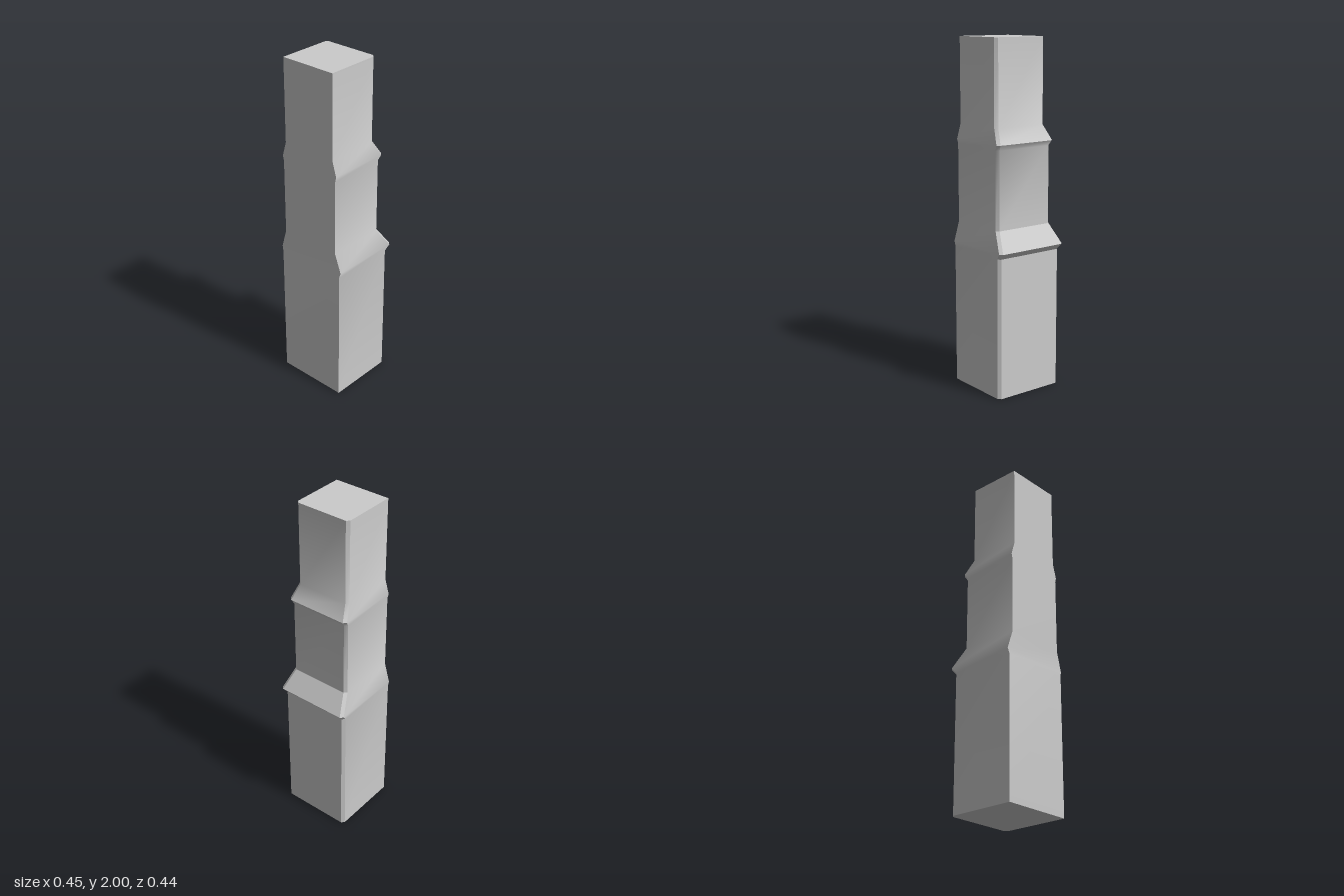
import * as THREE from 'three';
import { toCreasedNormals } from 'three/addons/utils/BufferGeometryUtils.js';

// Levels of the column: height, half width, back z, front z
const LEVELS = [
  [0, 0.215, -0.193, 0.219],
  [0.81, 0.215, -0.193, 0.219],
  [0.843, 0.224, -0.221, 0.215], // lower flared ledge
  [0.955, 0.188, -0.143, 0.219],
  [1.4, 0.188, -0.143, 0.219],
  [1.43, 0.195, -0.162, 0.219], // upper flared ledge
  [1.515, 0.17, -0.11, 0.219],
  [2, 0.17, -0.11, 0.219],
];
const CHAMFER = 0.016;

// Rectangle with its two back corners cut, anticlockwise from above
function section([y, w, back, front]) {
  return [
    [w, y, front], [w, y, back + CHAMFER], [w - CHAMFER, y, back],
    [-w + CHAMFER, y, back], [-w, y, back + CHAMFER], [-w, y, front],
  ];
}

function columnGeometry() {
  const rings = LEVELS.map(section);
  const n = rings[0].length;
  const indices = [];
  // Walls between neighbouring levels
  for (let r = 0; r < rings.length - 1; r++) {
    for (let i = 0; i < n; i++) {
      const a = r * n + i, b = r * n + (i + 1) % n;
      indices.push(a, b, b + n, a, b + n, a + n);
    }
  }
  // Flat bottom and top
  const top = (rings.length - 1) * n;
  for (let i = 1; i < n - 1; i++) {
    indices.push(0, i + 1, i, top, top + i, top + i + 1);
  }
  const geometry = new THREE.BufferGeometry();
  geometry.setAttribute('position', new THREE.Float32BufferAttribute(rings.flat(2), 3));
  geometry.setIndex(indices);
  return toCreasedNormals(geometry, 0.6);
}

export function createModel() {
  const group = new THREE.Group();
  group.name = 'steppedPilaster';
  const column = new THREE.Mesh(columnGeometry(), new THREE.MeshStandardMaterial({ color: 0xcccccc }));
  column.name = 'column';
  group.add(column);
  return group;
}
